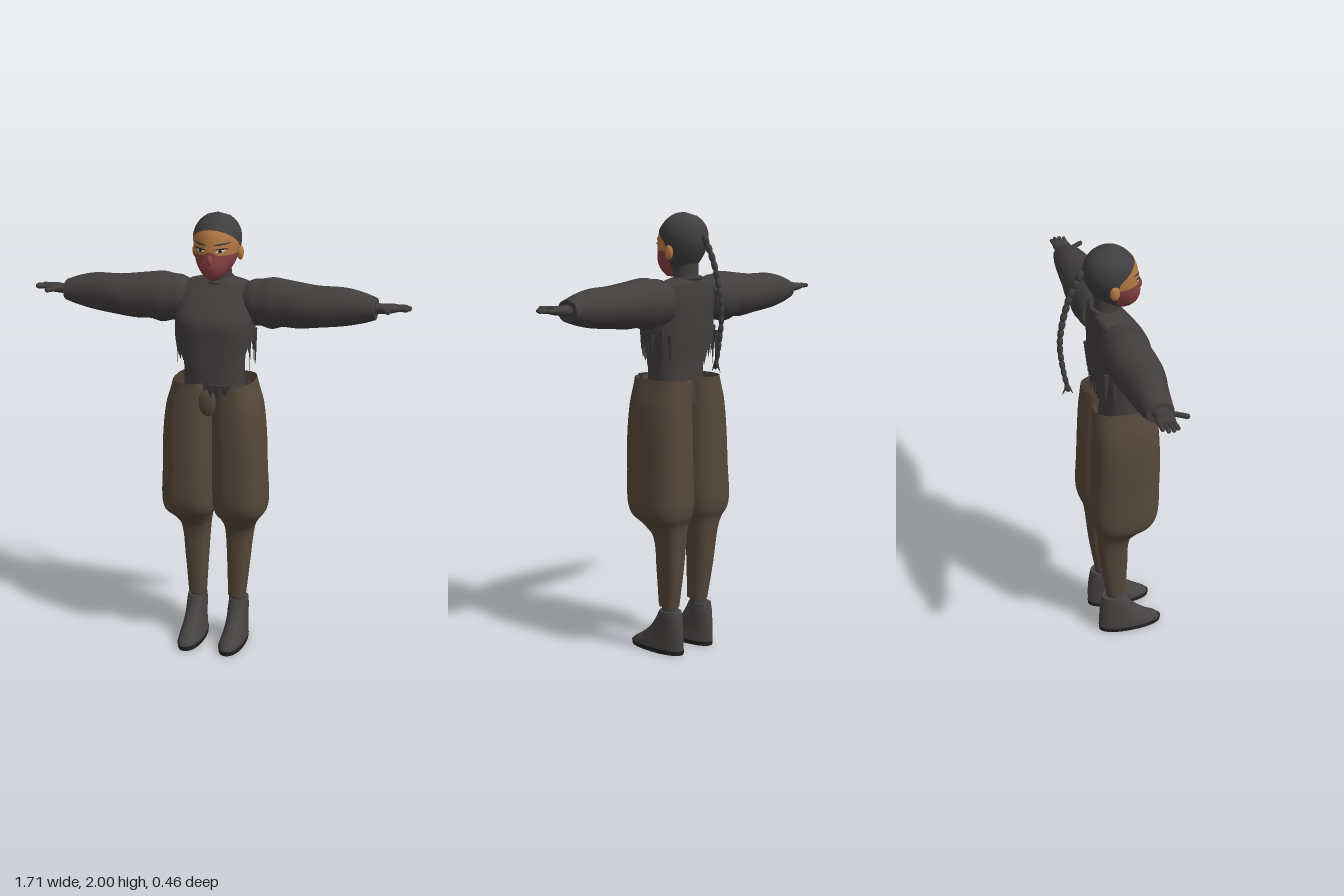
import * as THREE from 'three';

const mat = (name, color, side = THREE.DoubleSide) => {
  const m = new THREE.MeshStandardMaterial({ color, side });
  m.name = name;
  return m;
};

// Smooth interpolation of table rows, keyed by their first column
function sample(keys, v) {
  let i = 0;
  while (i < keys.length - 2 && v > keys[i + 1][0]) i++;
  const a = keys[i], b = keys[i + 1], h = b[0] - a[0];
  const t = Math.min(1, Math.max(0, (v - a[0]) / h));
  const p = keys[Math.max(0, i - 1)], q = keys[Math.min(keys.length - 1, i + 2)];
  return a.map((_, c) => {
    const m0 = (b[c] - p[c]) / (b[0] - p[0]) * h, m1 = (q[c] - a[c]) / (q[0] - a[0]) * h;
    const t2 = t * t, t3 = t2 * t;
    return (2 * t3 - 3 * t2 + 1) * a[c] + (t3 - 2 * t2 + t) * m0 + (3 * t2 - 2 * t3) * b[c] + (t3 - t2) * m1;
  });
}

// Point on a body surface; row = [height, centreX, halfWidth, zBack, zFront]
function ringPoint(keys, v, a, e = 2, off = 0) {
  const [, cx, w, zb, zf] = sample(keys, v);
  const pw = (c) => Math.sign(c) * Math.pow(Math.abs(c), 2 / e);
  return [cx + (w + off) * pw(Math.sin(a)), v, (zf + zb) / 2 + ((zf - zb) / 2 + off) * pw(Math.cos(a))];
}

function gridGeometry(pos, idx) {
  const g = new THREE.BufferGeometry();
  g.setAttribute('position', new THREE.Float32BufferAttribute(pos, 3));
  g.setIndex(idx);
  g.computeVertexNormals();
  return g;
}

// Closed tube through the rows, with optional ragged lower hem and end caps
function loft(keys, { n = 32, e = 2, sub = 4, caps = true, hem = null } = {}) {
  const pos = [], idx = [], levels = [];
  keys.forEach((k, i) => {
    if (i) for (let s = 1; s <= sub; s++) levels.push(keys[i - 1][0] + (k[0] - keys[i - 1][0]) * s / sub);
    else levels.push(k[0]);
  });
  const ring = (v) => {
    for (let i = 0; i < n; i++) {
      const a = i / n * Math.PI * 2;
      pos.push(...ringPoint(keys, hem ? Math.max(v, hem(a, i)) : v, a, e));
    }
  };
  levels.forEach(ring);
  for (let j = 0; j < levels.length - 1; j++) for (let i = 0; i < n; i++) {
    const a = j * n + i, b = j * n + (i + 1) % n;
    idx.push(a, b, b + n, a, b + n, a + n);
  }
  if (caps) [0, levels.length - 1].forEach((j) => {
    const base = pos.length / 3, r = sample(keys, levels[j]);
    ring(levels[j]);
    pos.push(r[1], levels[j], (r[3] + r[4]) / 2);
    for (let i = 0; i < n; i++) {
      const p = base + i, q = base + (i + 1) % n;
      j ? idx.push(base + n, p, q) : idx.push(base + n, q, p);
    }
  });
  return gridGeometry(pos, idx);
}

// Piece of a surface between two height curves over an angle range
function patch(keys, a0, a1, low, high, off = 0, na = 48, nv = 10) {
  const pos = [], idx = [];
  for (let j = 0; j <= nv; j++) for (let i = 0; i <= na; i++) {
    const a = a0 + (a1 - a0) * i / na, lo = low(a), hi = Math.max(lo, high(a));
    pos.push(...ringPoint(keys, lo + (hi - lo) * j / nv, a, 2, off));
  }
  for (let j = 0; j < nv; j++) for (let i = 0; i < na; i++) {
    const p = j * (na + 1) + i, q = p + na + 1;
    idx.push(p, p + 1, q + 1, p, q + 1, q);
  }
  return gridGeometry(pos, idx);
}

function mirrored(geo) {
  const g = geo.clone().scale(-1, 1, 1), ix = g.index;
  for (let i = 0; i < ix.count; i += 3) {
    const t = ix.getX(i);
    ix.setX(i, ix.getX(i + 1));
    ix.setX(i + 1, t);
  }
  return g;
}

export function createModel() {
  const model = new THREE.Group();
  const cloth = mat('charcoal cloth', 0x423e3e), hair = mat('dark hair', 0x403e3e);
  const trouser = mat('brown trousers', 0x56483b), skin = mat('skin', 0xb57844);
  const mask = mat('red mask', 0x8a4143), leather = mat('boot leather', 0x484343);
  const sole = mat('black sole', 0x242222), white = mat('eye white', 0xd8d0c8);
  const add = (name, geo, m) => {
    const mesh = new THREE.Mesh(geo, m);
    mesh.name = name;
    model.add(mesh);
  };
  const pair = (name, geo, m) => {
    add(name + 'Left', geo, m);
    add(name + 'Right', mirrored(geo), m);
  };

  // Head: mask, face and hair share one surface
  const head = [
    [1.715, 0, 0.018, 0.03, 0.1], [1.74, 0, 0.05, -0.03, 0.125], [1.78, 0, 0.077, -0.065, 0.137],
    [1.82, 0, 0.093, -0.09, 0.132], [1.87, 0, 0.103, -0.108, 0.128], [1.92, 0, 0.1, -0.105, 0.115],
    [1.96, 0, 0.08, -0.083, 0.087], [1.985, 0, 0.051, -0.052, 0.056], [1.996, 0, 0.027, -0.027, 0.031], [2, 0, 0.001, 0, 0.002],
  ];
  const floor = () => 1.715, crown = () => 2;
  const hairline = (a) => {
    const d = Math.abs(a) / Math.PI * 180;
    return d < 85 ? 1.938 - 0.07 * (d / 85) ** 2 : Math.max(1.715, 1.868 - 0.153 * (d - 85) / 30);
  };
  const maskTop = (a) => Math.min(hairline(a), 1.832 + 0.014 * Math.exp(-a * a * 20));
  add('hair', patch(head, -Math.PI, Math.PI, hairline, crown, 0.002, 96, 16), hair);
  add('face', patch(head, -2.1, 2.1, maskTop, hairline), skin);
  add('mask', patch(head, -2.1, 2.1, floor, maskTop, 0.001), mask);
  add('nose', new THREE.SphereGeometry(1, 16, 12).scale(0.014, 0.026, 0.018).translate(0, 1.81, 0.13), mask);
  pair('ear', new THREE.SphereGeometry(1, 14, 10).scale(0.014, 0.032, 0.022).translate(0.101, 1.828, -0.002), skin);

  // Painted eyes and brows
  const mark = (name, a0, a1, y, rise, thick, m, off) => {
    const mid = (a) => y + rise * (a - a0) / (a1 - a0);
    const half = (a) => thick * Math.sqrt(Math.max(0, Math.sin((a - a0) / (a1 - a0) * Math.PI)));
    pair(name, patch(head, a0, a1, (a) => mid(a) - half(a), (a) => mid(a) + half(a), off, 16, 2), m);
  };
  mark('brow', 0.14, 0.9, 1.876, 0.01, 0.004, hair, 0.003);
  mark('eyeWhite', 0.22, 0.68, 1.85, 0.004, 0.006, white, 0.002);
  mark('iris', 0.36, 0.52, 1.851, 0, 0.006, sole, 0.003);
  mark('lashLine', 0.18, 0.78, 1.857, 0.006, 0.003, sole, 0.004);

  // Neck and collar
  add('neck', loft([[1.64, 0, 0.07, -0.08, 0.05], [1.72, 0, 0.055, -0.066, 0.045], [1.79, 0, 0.055, -0.066, 0.045]]), cloth);
  add('collar', new THREE.TorusGeometry(0.062, 0.011, 8, 28).rotateX(Math.PI / 2 + 0.15).translate(0, 1.705, -0.012), cloth);

  // Braid hanging free behind the head
  const braid = new THREE.CatmullRomCurve3([[1.88, -0.125], [1.79, -0.17], [1.655, -0.208], [1.55, -0.218], [1.42, -0.203], [1.345, -0.188]]
    .map(([y, z]) => new THREE.Vector3(-0.003, y, z)));
  const knots = 15;
  for (let i = 0; i < knots; i++) {
    const t = i / (knots - 1), p = braid.getPointAt(t), d = braid.getTangentAt(t);
    const r = 0.017 - 0.005 * t;
    add('braidKnot', new THREE.SphereGeometry(1, 10, 8).scale(r * 0.8, 0.027, r)
      .rotateX(Math.atan2(d.z, d.y)).translate(p.x, p.y, p.z), hair);
  }
  [-0.5, 0.5].forEach((r) => add('braidTip', new THREE.ConeGeometry(0.008, 0.05, 6)
    .rotateX(Math.PI + r).translate(-0.003, 1.327, -0.188 - r * 0.03), hair));

  // Shirt with ragged hem, and the waist inside it
  const hem = (a, i) => 1.325 + 0.085 * Math.sin(a) ** 2 + (i % 2) * (0.012 + 0.045 * Math.abs(Math.sin(a / 2)))
    + 0.012 * Math.sin(i * 7.3);
  add('shirt', loft([
    [1.31, 0, 0.15, -0.08, 0.178], [1.45, 0, 0.174, -0.085, 0.176], [1.54, 0, 0.176, -0.086, 0.172],
    [1.62, 0, 0.174, -0.086, 0.118], [1.675, 0, 0.165, -0.08, 0.07], [1.7, 0, 0.13, -0.075, 0.05], [1.715, 0, 0.06, -0.066, 0.04],
  ], { n: 56, e: 2.5, sub: 6, caps: false, hem }), cloth);
  add('waist', loft([[1.16, 0, 0.14, -0.06, 0.155], [1.3, 0, 0.134, -0.046, 0.155], [1.46, 0, 0.14, -0.05, 0.155]], { e: 2.4 }), cloth);
  // Torn strips at the sides and over the waistband
  [[0.165, 1.4, 0.07, 0.17], [0.178, 1.4, 0.03, 0.14], [0.168, 1.4, -0.02, 0.18], [0.15, 1.4, -0.055, 0.14]].forEach(([x, y, z, h]) =>
    pair('tatter', new THREE.ConeGeometry(0.016, h, 4).rotateX(Math.PI).scale(0.4, 1, 1).translate(x, y, z), cloth));
  [[0.02, 0.06], [0.055, 0.09], [0.085, 0.05]].forEach(([x, h]) =>
    add('frontTatter', new THREE.ConeGeometry(0.024, h, 4).rotateX(Math.PI).scale(1, 1, 0.3).translate(x, 1.275 - h / 2, 0.186), cloth));

  // Trousers: a wide baggy leg gathered at the knee
  pair('trouserLeg', loft([
    [0.22, 0.095, 0.04, -0.04, 0.053], [0.4, 0.1, 0.052, -0.068, 0.058], [0.55, 0.104, 0.066, -0.083, 0.066],
    [0.61, 0.112, 0.088, -0.092, 0.115], [0.65, 0.118, 0.112, -0.11, 0.165], [0.71, 0.119, 0.12, -0.12, 0.19],
    [0.85, 0.116, 0.117, -0.115, 0.196], [1.0, 0.114, 0.115, -0.11, 0.198], [1.15, 0.106, 0.108, -0.105, 0.192],
    [1.24, 0.094, 0.094, -0.1, 0.186], [1.27, 0.092, 0.088, -0.098, 0.185],
  ], { e: 2.6, caps: false, n: 40 }), trouser);
  add('fly', new THREE.SphereGeometry(1, 16, 12).scale(0.042, 0.06, 0.02).translate(0, 1.185, 0.165), trouser);

  // Ankles, boots and soles
  pair('ankle', new THREE.CylinderGeometry(0.036, 0.042, 0.1, 20).translate(0.095, 0.2, 0), cloth);
  pair('boot', loft([
    [0.015, 0.098, 0.056, -0.076, 0.228], [0.035, 0.099, 0.055, -0.076, 0.215], [0.065, 0.1, 0.05, -0.076, 0.165],
    [0.11, 0.1, 0.046, -0.074, 0.108], [0.16, 0.1, 0.046, -0.068, 0.07], [0.2, 0.1, 0.043, -0.06, 0.048],
  ], { e: 2.2 }), leather);
  pair('sole', loft([[0, 0.098, 0.056, -0.076, 0.228], [0.02, 0.098, 0.058, -0.078, 0.232]], { e: 2.2, sub: 1 }), sole);

  // Puffed sleeves, built upright then laid along x
  pair('sleeve', loft([
    [0.13, -1.61, 0.088, -0.08, 0.08], [0.165, -1.612, 0.102, -0.092, 0.092], [0.2, -1.614, 0.103, -0.096, 0.096],
    [0.25, -1.613, 0.113, -0.1, 0.105], [0.3, -1.617, 0.104, -0.097, 0.108], [0.37, -1.612, 0.1, -0.096, 0.112],
    [0.45, -1.612, 0.091, -0.086, 0.108], [0.57, -1.617, 0.083, -0.077, 0.082], [0.65, -1.617, 0.066, -0.068, 0.068],
    [0.705, -1.616, 0.047, -0.057, 0.06],
  ]).rotateZ(-Math.PI / 2), cloth);

  // Gloved hands
  pair('palm', loft([
    [0.69, -1.62, 0.024, -0.034, 0.036], [0.73, -1.62, 0.02, -0.033, 0.04], [0.77, -1.623, 0.019, -0.039, 0.042],
    [0.8, -1.625, 0.013, -0.038, 0.036],
  ], { n: 20, e: 2.5 }).rotateZ(-Math.PI / 2), cloth);
  const digit = (name, x, z, len, r, turn) => pair(name, new THREE.CapsuleGeometry(r, len, 4, 8)
    .rotateZ(Math.PI / 2).rotateY(turn).translate(x, 1.626, z), cloth);
  [[0.806, -0.03, 0.045], [0.816, -0.011, 0.06], [0.817, 0.009, 0.06], [0.81, 0.028, 0.055]].forEach(([x, z, len]) =>
    digit('finger', x, z, len, 0.0095, (0.0 - z) * 2));
  digit('thumb', 0.752, 0.066, 0.06, 0.011, -0.95);
  return model;
}
